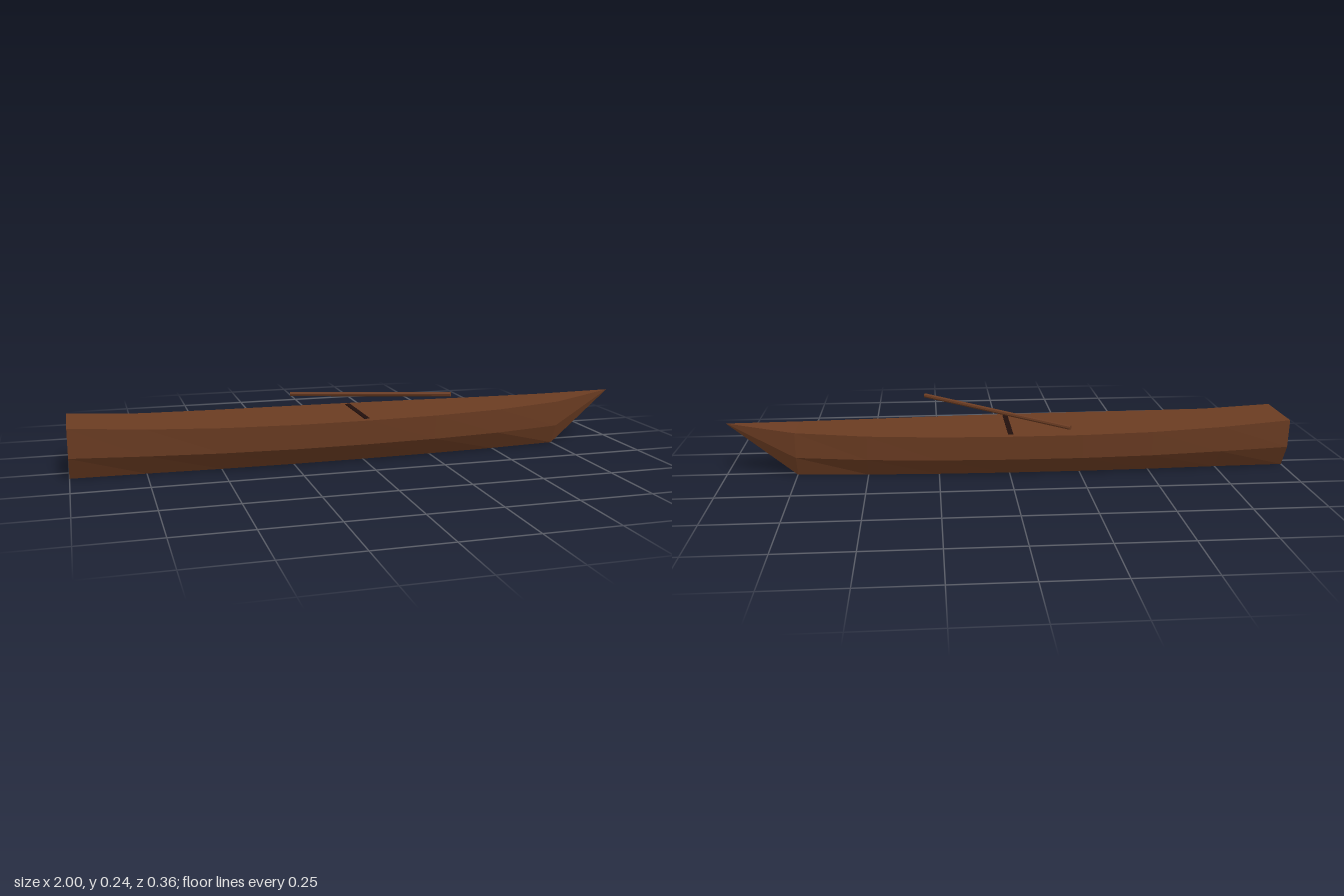
import * as THREE from 'three';

export function createModel() {
  const model = new THREE.Group();
  const wood = new THREE.MeshStandardMaterial({ color: 0x6b3c22, flatShading: true });
  wood.name = 'brown wood';
  const darkWood = new THREE.MeshStandardMaterial({ color: 0x22100c, flatShading: true });
  darkWood.name = 'dark wood';
  const keelZ = 0.016;

  // Hull stations from stern to bow: x, half width, deck height
  const stations = [
    [-1, 0.118, 0.182], [-0.75, 0.13, 0.166], [-0.5, 0.149, 0.159],
    [-0.25, 0.157, 0.156], [0, 0.154, 0.155], [0.25, 0.142, 0.155],
    [0.5, 0.118, 0.157], [0.75, 0.078, 0.164],
  ];
  // Each section runs deck edge, chine, floor, floor, chine, deck edge
  const sections = stations.map(([x, w, h]) =>
    [[1, 1], [0.92, 0.44], [0.5, 0], [-0.5, 0], [-0.92, 0.44], [-1, 1]]
      .map(([z, y]) => [x, y * h, keelZ + z * w]));
  const bow = [0.995, 0.183, keelZ];
  const positions = [];
  const triangle = (a, b, c) => positions.push(...a, ...b, ...c);

  // Planking, floor and deck
  for (let s = 0; s < sections.length - 1; s++) {
    const p = sections[s], q = sections[s + 1];
    for (let i = 0; i < 6; i++) {
      const j = (i + 1) % 6;
      triangle(p[i], p[j], q[j]);
      triangle(p[i], q[j], q[i]);
    }
  }
  // Pointed bow
  const last = sections[sections.length - 1];
  for (let i = 0; i < 6; i++) triangle(last[i], last[(i + 1) % 6], bow);
  // Flat stern
  const stern = sections[0];
  for (let i = 1; i < 5; i++) triangle(stern[0], stern[i + 1], stern[i]);

  const hullGeometry = new THREE.BufferGeometry();
  hullGeometry.setAttribute('position', new THREE.Float32BufferAttribute(positions, 3));
  hullGeometry.computeVertexNormals();
  const hull = new THREE.Mesh(hullGeometry, wood);
  hull.name = 'hull';
  model.add(hull);

  // Cross bench, almost flush with the deck
  const bench = new THREE.Mesh(new THREE.BoxGeometry(0.018, 0.016, 0.25), darkWood);
  bench.name = 'bench';
  bench.position.set(0, 0.15, keelZ);
  model.add(bench);

  // Pole lying diagonally above the deck
  const start = new THREE.Vector3(-0.2, 0.193, -0.174);
  const end = new THREE.Vector3(0.295, 0.232, 0.174);
  const along = end.clone().sub(start);
  const pole = new THREE.Mesh(new THREE.CylinderGeometry(0.008, 0.008, along.length(), 8), wood);
  pole.name = 'pole';
  pole.position.copy(start).add(end).multiplyScalar(0.5);
  pole.quaternion.setFromUnitVectors(new THREE.Vector3(0, 1, 0), along.normalize());
  model.add(pole);

  return model;
}
